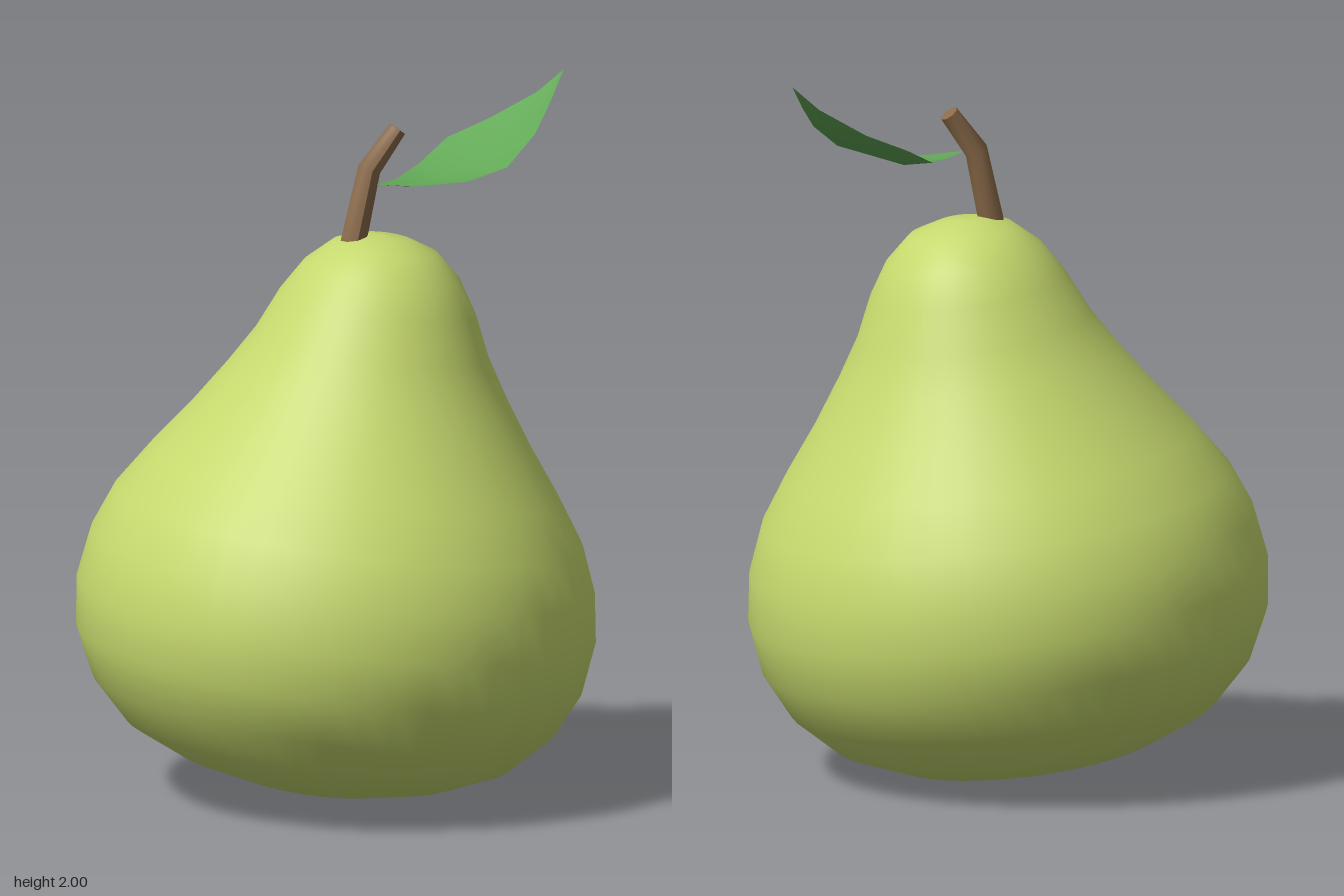
import * as THREE from 'three';

const mesh = (name, geometry, color, side = THREE.FrontSide) => {
  const m = new THREE.Mesh(geometry, new THREE.MeshStandardMaterial({ color, side }));
  m.name = name;
  return m;
};

// Pear body: a lathe profile (radius, height along the core), leaning to one side
function createBody() {
  const profile = [
    [0, 0], [0.2, 0.012], [0.389, 0.06], [0.54, 0.13], [0.647, 0.238], [0.71, 0.369],
    [0.728, 0.508], [0.707, 0.645], [0.657, 0.772], [0.572, 0.9], [0.478, 1.027],
    [0.392, 1.157], [0.327, 1.265], [0.275, 1.382], [0.219, 1.473], [0.147, 1.54],
    [0.07, 1.567], [0, 1.572],
  ].map(([r, h]) => new THREE.Vector2(r, h));
  const body = mesh('pearBody', new THREE.LatheGeometry(profile, 48), 0xc5d86d);
  body.rotation.z = -0.138;
  body.position.set(-0.065, 0.018, 0);
  return body;
}

// Stem: a cylinder whose three rings follow a kinked, tapering path
function createStem() {
  const rings = [
    { x: 0.048, y: 1.53, r: 0.038, tilt: 0.22 },
    { x: 0.1, y: 1.765, r: 0.034, tilt: 0.42 },
    { x: 0.182, y: 1.876, r: 0.027, tilt: 0.64 },
  ];
  const geometry = new THREE.CylinderGeometry(1, 1, 2, 8, 2);
  const pos = geometry.attributes.position;
  for (let i = 0; i < pos.count; i++) {
    const { x, y, r, tilt } = rings[Math.round(pos.getY(i)) + 1];
    const across = pos.getX(i) * r;
    pos.setXYZ(i, x + across * Math.cos(tilt), y - across * Math.sin(tilt), pos.getZ(i) * r);
  }
  geometry.computeVertexNormals();
  return mesh('stem', geometry, 0x8b6b4a);
}

// Leaf: cross-sections from base to tip, each with a front edge, sunken midrib and back edge
function createLeaf() {
  const sections = [
    [[0.09, 1.745, 0.105], [0.09, 1.745, 0.105]],
    [[0.2, 1.737, 0.125], [0.165, 1.742, 0.04]],
    [[0.345, 1.745, 0.14], [0.26, 1.755, -0.07]],
    [[0.46, 1.78, 0.14], [0.365, 1.81, -0.145]],
    [[0.56, 1.855, 0.07], [0.485, 1.86, -0.135]],
    [[0.622, 1.925, 0.0], [0.61, 1.935, -0.095]],
    [[0.68, 2.0, -0.07], [0.68, 2.0, -0.07]],
  ];
  const points = [], index = [];
  sections.forEach(([front, back], i) => {
    const sag = 0.02 * Math.sin((Math.PI * i) / (sections.length - 1));
    const mid = front.map((v, k) => (v + back[k]) / 2 - (k === 1 ? sag : 0));
    points.push(...front, ...mid, ...back);
    if (i === 0) return;
    for (let j = 0; j < 2; j++) {
      const a = (i - 1) * 3 + j, b = a + 3;
      index.push(a, b, a + 1, b, b + 1, a + 1);
    }
  });
  const geometry = new THREE.BufferGeometry();
  geometry.setAttribute('position', new THREE.Float32BufferAttribute(points, 3));
  geometry.setIndex(index);
  geometry.computeVertexNormals();
  return mesh('leaf', geometry, 0x62a856, THREE.DoubleSide);
}

export function createModel() {
  const model = new THREE.Group();
  model.name = 'pear';
  model.add(createBody(), createStem(), createLeaf());
  return model;
}
